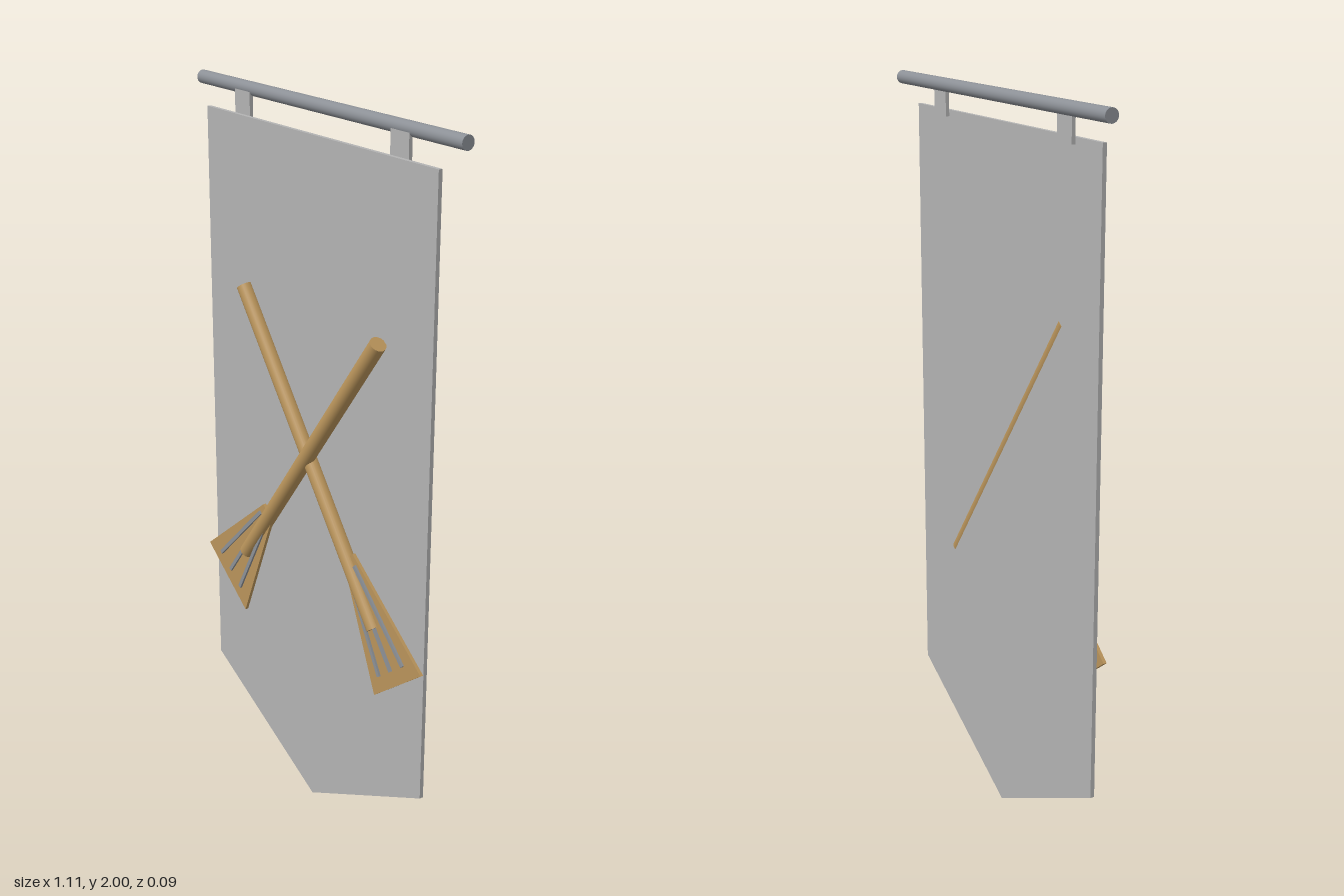
import * as THREE from 'three';

const mat = (name, color) => {
  const m = new THREE.MeshStandardMaterial({ color });
  m.name = name;
  return m;
};

export function createModel() {
  const cloth = mat('grey cloth', 0xb3b3b3);
  const steel = mat('steel', 0x8c9096);
  const wood = mat('wood', 0xb8935a);

  const model = new THREE.Group();
  model.name = 'banner';

  const add = (parent, name, geometry, material, x = 0, y = 0, z = 0) => {
    const mesh = new THREE.Mesh(geometry, material);
    mesh.name = name;
    mesh.position.set(x, y, z);
    parent.add(mesh);
    return mesh;
  };

  // Flat plate from an outline, its back at z = 0
  const plate = (points, depth) => new THREE.ExtrudeGeometry(
    new THREE.Shape(points.map(([x, y]) => new THREE.Vector2(x, y))),
    { depth, bevelEnabled: false });

  // Hanging cloth with a pointed lower edge
  add(model, 'cloth', plate(
    [[0, 0], [0.49, 0.25], [0.49, 1.915], [-0.49, 1.915], [-0.49, 0.25]], 0.011),
  cloth, 0, 0, -0.011);

  // Rod along the top and the two tabs that hold the cloth
  add(model, 'rod', new THREE.CylinderGeometry(0.018, 0.018, 1.11, 24), steel, 0, 1.982, -0.028)
    .rotation.z = Math.PI / 2;
  for (const x of [-0.333, 0.333]) {
    add(model, 'tab', new THREE.BoxGeometry(0.07, 0.08, 0.01), cloth, x, 1.938, -0.016);
  }

  // Broom: origin at the handle's upper end, running down local -y
  const makeBroom = (side, z) => {
    const broom = new THREE.Group();
    broom.name = side < 0 ? 'frontBroom' : 'rearBroom';
    broom.position.set(-side * 0.306, 1.46, z);
    broom.rotation.z = side * 0.652;

    add(broom, 'handle', new THREE.CylinderGeometry(0.022, 0.022, 0.99, 24), wood, 0, -0.495, 0);

    // Flat flared head
    const shift = side * 0.01;
    add(broom, 'broomHead', plate(
      [[-0.12, -1.15], [0.12, -1.15], [0.026, -0.79], [-0.026, -0.79]], 0.009),
    wood, shift, 0, -0.004);

    // Three strips fanning out over the head
    for (const i of [-1, 0, 1]) {
      const top = new THREE.Vector2(i * 0.018, -0.82);
      const end = new THREE.Vector2(i * 0.061, -1.11);
      const dir = end.clone().sub(top);
      add(broom, 'strip', new THREE.BoxGeometry(0.011, dir.length(), 0.006), steel,
        shift + (top.x + end.x) / 2, (top.y + end.y) / 2, 0.008)
        .rotation.z = Math.atan2(dir.x, -dir.y);
    }
    model.add(broom);
  };
  makeBroom(-1, 0.021);
  makeBroom(1, 0.009);

  return model;
}
